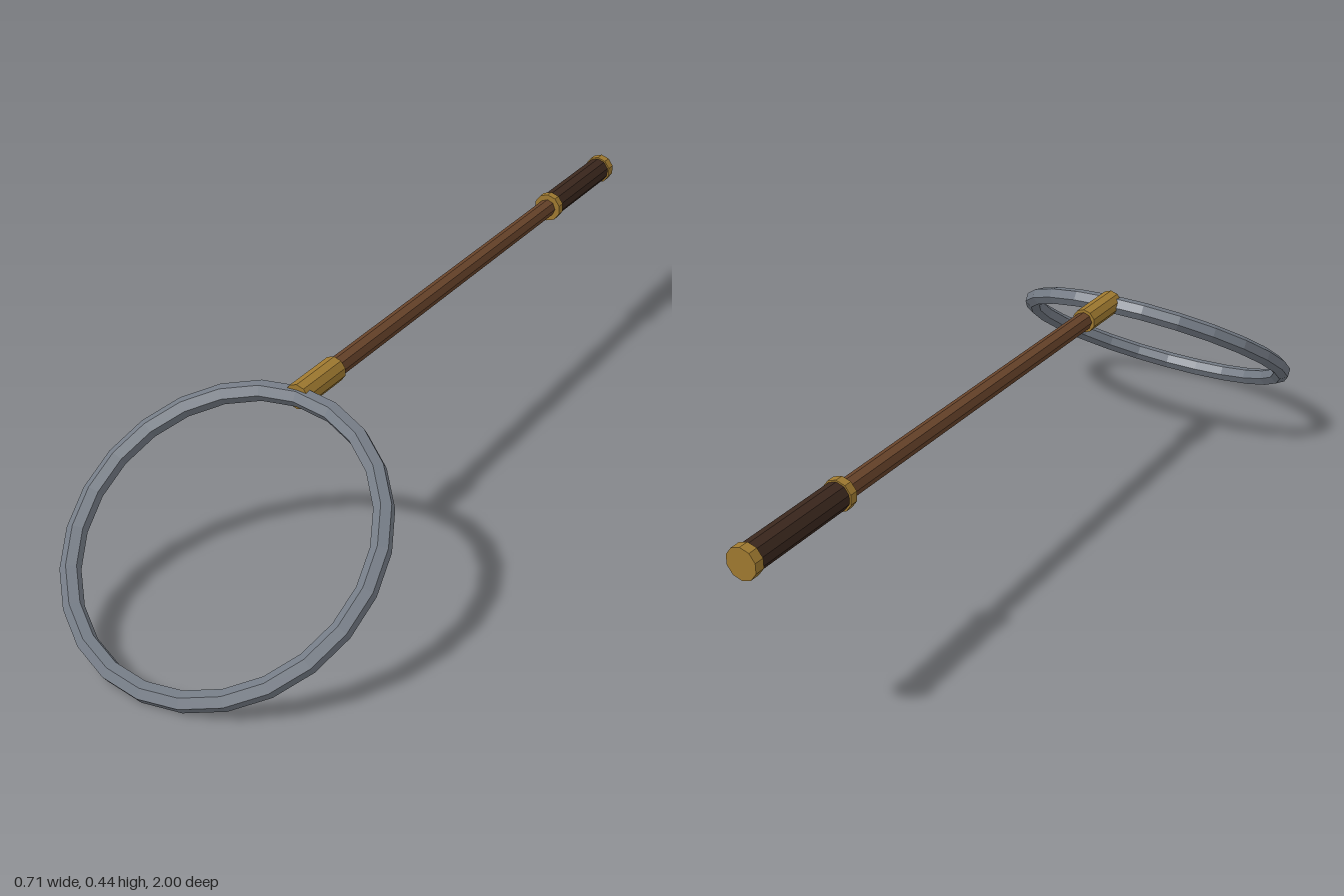
import * as THREE from 'three';

const material = (color) => new THREE.MeshStandardMaterial({ color, flatShading: true });

export function createModel() {
  const model = new THREE.Group();
  const brass = material(0xa07a30);
  const wood = material(0x67432a);
  const leather = material(0x3a271d);
  const steel = material(0x747b85);
  const handleY = 0.408;

  // A straight rod along z, from z0 to z1
  function rod(name, radius, z0, z1, sides, mat) {
    const geometry = new THREE.CylinderGeometry(radius, radius, z1 - z0, sides);
    geometry.rotateX(Math.PI / 2);
    const mesh = new THREE.Mesh(geometry, mat);
    mesh.name = name;
    mesh.position.set(0, handleY, (z0 + z1) / 2);
    model.add(mesh);
  }

  // Handle, from the back end to the hoop
  rod('pommel', 0.035, -1, -0.977, 10, brass);
  rod('grip', 0.031, -0.98, -0.7, 10, leather);
  rod('collar', 0.035, -0.706, -0.686, 10, brass);
  rod('shaft', 0.022, -0.7, 0.32, 8, wood);
  rod('socket', 0.029, 0.295, 0.435, 10, brass);

  // Tilted hoop with a hexagonal section, flat on its inner and outer sides
  const section = [];
  for (let i = 0; i <= 6; i++) {
    const a = Math.PI / 6 + (i * Math.PI) / 3;
    section.push(new THREE.Vector2(0.336 + 0.022 * Math.cos(a), 0.022 * Math.sin(a)));
  }
  const hoop = new THREE.Mesh(new THREE.LatheGeometry(section, 24), steel);
  hoop.name = 'hoop';
  hoop.position.set(0, 0.213, 0.703);
  hoop.rotation.x = THREE.MathUtils.degToRad(35);
  model.add(hoop);

  return model;
}
